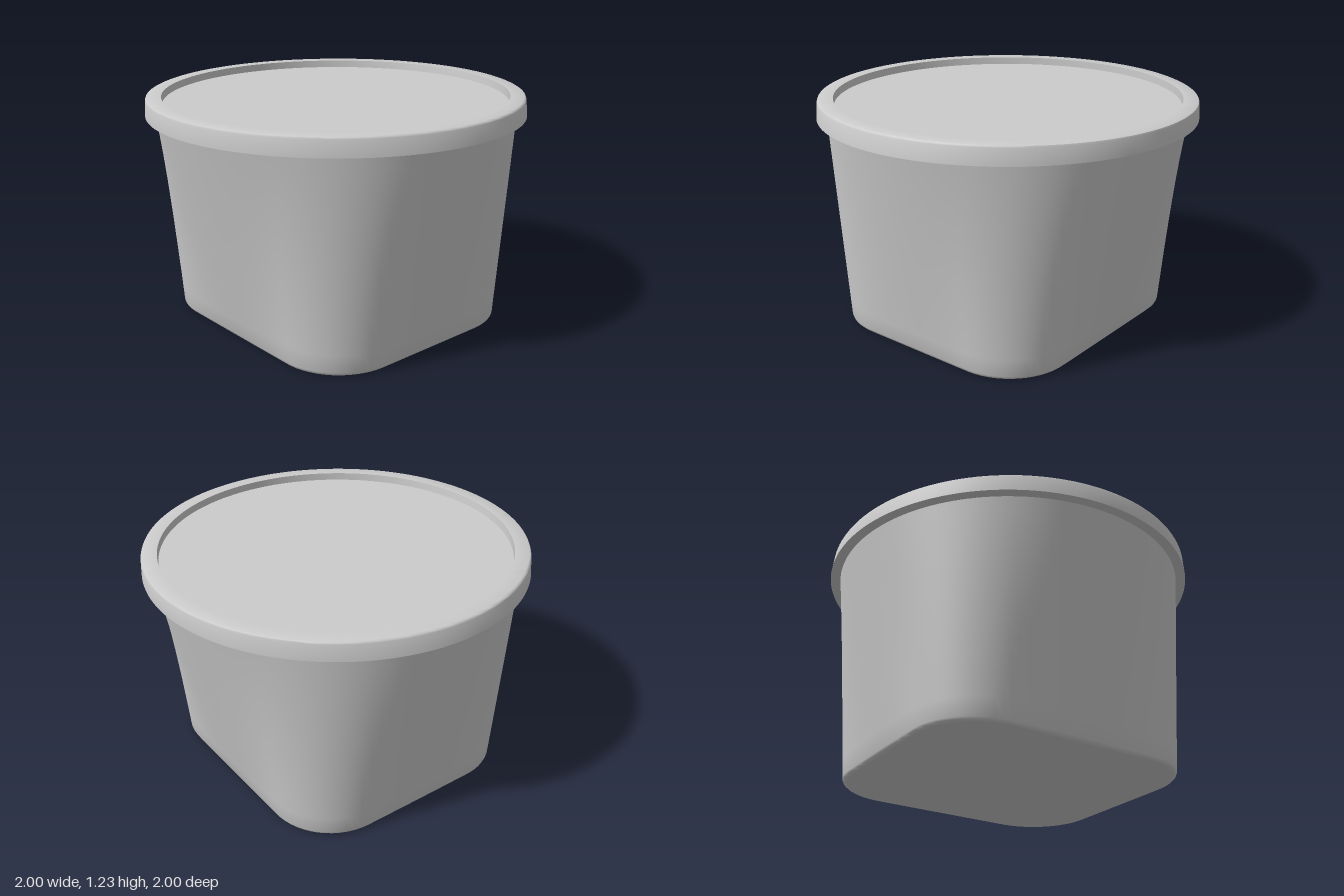
import * as THREE from 'three';
import { toCreasedNormals } from 'three/addons/utils/BufferGeometryUtils.js';

const SEGMENTS = 144;
const BASE = { halfX: 0.68, halfZ: 0.75, corner: 0.338 }; // rounded rectangle at the foot
const MOUTH = 0.947; // circle just under the lid
const SKIRT_Y = 1.13;
const TOP_Y = 1.225;

// Distance from the centre to the rounded rectangle along the direction (dx, dz)
function baseRadius(dx, dz) {
  const { halfX, halfZ, corner } = BASE;
  const ax = Math.abs(dx), az = Math.abs(dz);
  const cx = halfX - corner, cz = halfZ - corner;
  if (az * halfX <= cz * ax) return halfX / ax;
  if (ax * halfZ <= cx * az) return halfZ / az;
  const along = ax * cx + az * cz;
  return along + Math.sqrt(along * along - cx * cx - cz * cz + corner * corner);
}

// Turns a profile, then moves every vertex by a rule
function shapedLathe(name, profile, rule, crease, material) {
  const geometry = new THREE.LatheGeometry(profile.map(([r, y]) => new THREE.Vector2(r, y)), SEGMENTS);
  const position = geometry.attributes.position;
  const v = new THREE.Vector3();
  for (let i = 0; i < position.count; i++) {
    rule(v.fromBufferAttribute(position, i));
    position.setXYZ(i, v.x, v.y, v.z);
  }
  const mesh = new THREE.Mesh(toCreasedNormals(geometry, crease), material);
  mesh.name = name;
  return mesh;
}

export function createModel() {
  const group = new THREE.Group();
  group.name = 'lidded tub';
  const material = new THREE.MeshStandardMaterial({ color: 0xcccccc, side: THREE.DoubleSide });

  // Tub: rounded rectangle at the foot blending into a round mouth
  const tubProfile = [[0, 0], [0.975, 0], [0.988, 0.003], [0.996, 0.01], [1, 0.02]];
  const rows = 12;
  for (let i = 1; i <= rows; i++) tubProfile.push([1, 0.02 + (1.15 - 0.02) * i / rows]);
  group.add(shapedLathe('tub', tubProfile, (v) => {
    const share = Math.hypot(v.x, v.z);
    if (share < 1e-6) return;
    const dx = v.x / share, dz = v.z / share;
    const radius = share * THREE.MathUtils.lerp(baseRadius(dx, dz), MOUTH, v.y / SKIRT_Y);
    v.x = dx * radius;
    v.z = dz * radius;
  }, 0.6, material));

  // Lid: skirt, rim and sunken panel, drawn in slightly along z towards the top
  const lidProfile = [
    [0.93, SKIRT_Y], [1, SKIRT_Y], [0.999, 1.213], [0.996, 1.221], [0.988, TOP_Y],
    [0.917, TOP_Y], [0.912, 1.185], [0, 1.185],
  ];
  group.add(shapedLathe('lid', lidProfile, (v) => {
    v.z *= 1 - 0.013 * (v.y - SKIRT_Y) / (TOP_Y - SKIRT_Y);
  }, 0.7, material));

  return group;
}
